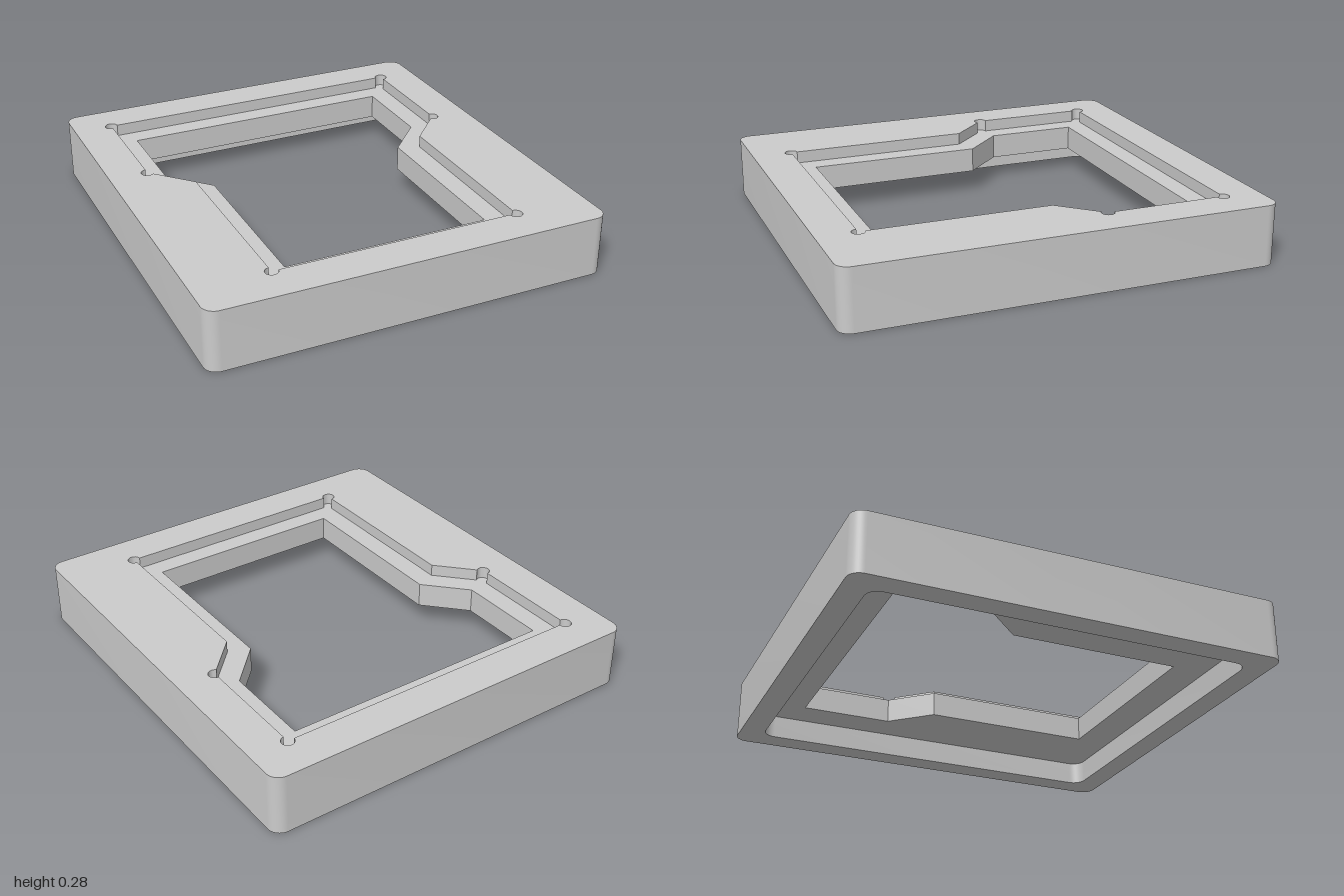
import * as THREE from 'three';
import { toCreasedNormals } from 'three/addons/utils/BufferGeometryUtils.js';

// Heights: underside, roof of the lower pocket, upper ledge, top face
const BOTTOM = 0, ROOF = 0.11, LEDGE = 0.228, TOP = 0.285;

// All outlines are loops of (x, z) points, counter-clockwise in x-z
const arc = (cx, cz, r, a0, a1, n) => Array.from({ length: n + 1 }, (_, i) => {
  const a = a0 + (a1 - a0) * i / n;
  return new THREE.Vector2(cx + r * Math.cos(a), cz + r * Math.sin(a));
});

function roundedRect(w, d, r) {
  const signs = [[1, 1], [-1, 1], [-1, -1], [1, -1]];
  return signs.flatMap(([sx, sz], i) =>
    arc(sx * (w - r), sz * (d - r), r, i * Math.PI / 2, (i + 1) * Math.PI / 2, 10));
}

// Right half from back to front, mirrored to the left; each entry is [x, z, relief radius]
function mirroredLoop(half) {
  const pts = [...half, ...half.map(([x, z, r]) => [-x, z, r]).reverse()];
  return pts.flatMap(([x, z, r], i) => {
    if (!r) return [new THREE.Vector2(x, z)];
    const p = pts[(i + pts.length - 1) % pts.length], n = pts[(i + 1) % pts.length];
    const a0 = Math.atan2(p[1] - z, p[0] - x);
    let a1 = Math.atan2(n[1] - z, n[0] - x);
    while (a1 <= a0) a1 += 2 * Math.PI;
    return arc(x, z, r, a0, a1, 16);
  });
}

// Flat ring between two loops, facing up or down
function ring(outer, inner, y, up) {
  const s = up ? -1 : 1;
  const flat = (loop) => loop.map((p) => new THREE.Vector2(p.x, s * p.y));
  const shape = new THREE.Shape(flat(outer));
  shape.holes.push(new THREE.Path(flat(inner)));
  return new THREE.ShapeGeometry(shape).rotateX(s * Math.PI / 2).translate(0, y, 0);
}

// Upright wall along a loop, facing outward or inward
function wall(loop, y0, y1, outward) {
  const pts = outward ? loop : [...loop].reverse();
  const pos = [];
  pts.forEach((a, i) => {
    const b = pts[(i + 1) % pts.length];
    pos.push(a.x, y0, a.y, a.x, y1, a.y, b.x, y1, b.y);
    pos.push(a.x, y0, a.y, b.x, y1, b.y, b.x, y0, b.y);
  });
  const g = new THREE.BufferGeometry();
  g.setAttribute('position', new THREE.Float32BufferAttribute(pos, 3));
  return toCreasedNormals(g, Math.PI / 6);
}

export function createModel() {
  const group = new THREE.Group();
  group.name = 'frame';
  const material = new THREE.MeshStandardMaterial({ color: 0xcccccc });
  const add = (name, geometry) => {
    const mesh = new THREE.Mesh(geometry, material);
    mesh.name = name;
    group.add(mesh);
  };

  const R = 0.03; // corner relief radius
  const body = roundedRect(0.94, 1, 0.06);
  const lowerPocket = roundedRect(0.825, 0.885, 0.06);
  const recess = mirroredLoop([
    [0.757, -0.818, R], [0.757, -0.25, R], [0.585, -0.067, 0], [0.583, 0.812, R],
  ]);
  const opening = mirroredLoop([
    [0.658, -0.72, 0], [0.658, -0.287, 0], [0.484, -0.103, 0], [0.484, 0.715, 0],
  ]);

  // Outer block
  add('outerWall', wall(body, BOTTOM, TOP, true));
  add('topFace', ring(body, recess, TOP, true));
  add('bottomRim', ring(body, lowerPocket, BOTTOM, false));

  // Upper recess with relieved corners
  add('recessWall', wall(recess, LEDGE, TOP, false));
  add('recessLedge', ring(recess, opening, LEDGE, true));

  // Through opening
  add('openingWall', wall(opening, ROOF, LEDGE, false));

  // Lower pocket
  add('lowerPocketWall', wall(lowerPocket, BOTTOM, ROOF, false));
  add('lowerPocketRoof', ring(lowerPocket, opening, ROOF, false));

  return group;
}
